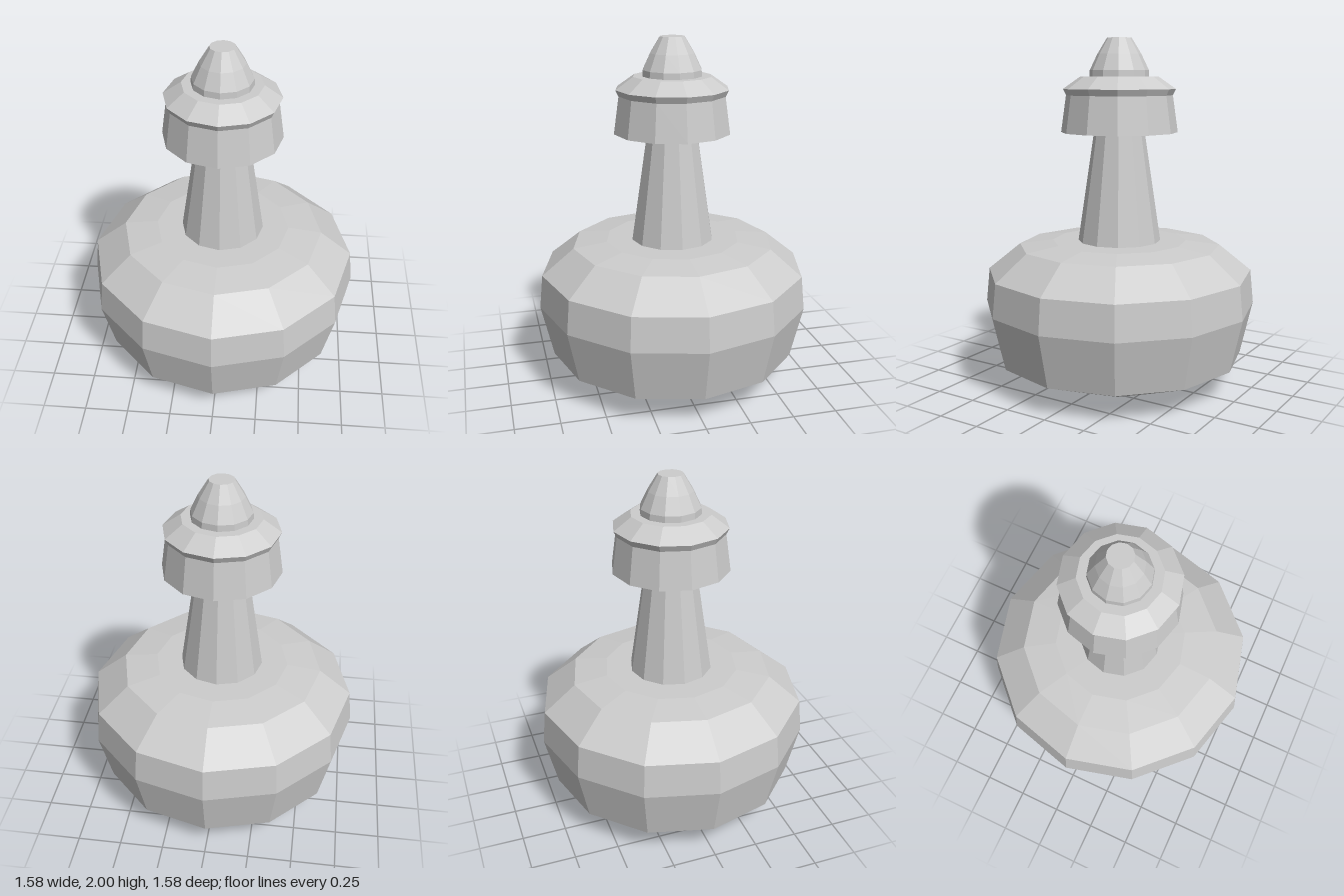
import * as THREE from 'three';

const SIDES = 12;

export function createModel() {
  const group = new THREE.Group();
  const grey = new THREE.MeshStandardMaterial({ color: 0xcccccc, flatShading: true });
  grey.name = 'light grey';

  // Turned part from a [radius, height] profile, bottom to top
  function turned(name, profile) {
    const points = profile.map(([r, y]) => new THREE.Vector2(r, y));
    const geometry = new THREE.LatheGeometry(points, SIDES).toNonIndexed();
    geometry.computeVertexNormals();
    const mesh = new THREE.Mesh(geometry, grey);
    mesh.name = name;
    group.add(mesh);
  }

  // Broad rounded body with a small flat foot
  turned('body', [
    [0, 0], [0.325, 0], [0.72, 0.165], [0.79, 0.47],
    [0.77, 0.665], [0.585, 0.815], [0.39, 0.84], [0, 0.84],
  ]);

  // Tapering neck
  turned('neck', [[0.24, 0.835], [0.145, 1.475]]);

  // Flared collar with a bevelled rim
  turned('collar', [
    [0, 1.47], [0.335, 1.47], [0.305, 1.68], [0.322, 1.715],
    [0.222, 1.785], [0, 1.785],
  ]);

  // Blunt domed tip
  turned('tip', [
    [0.17, 1.78], [0.168, 1.82], [0.125, 1.91], [0.07, 2], [0, 2],
  ]);

  return group;
}
